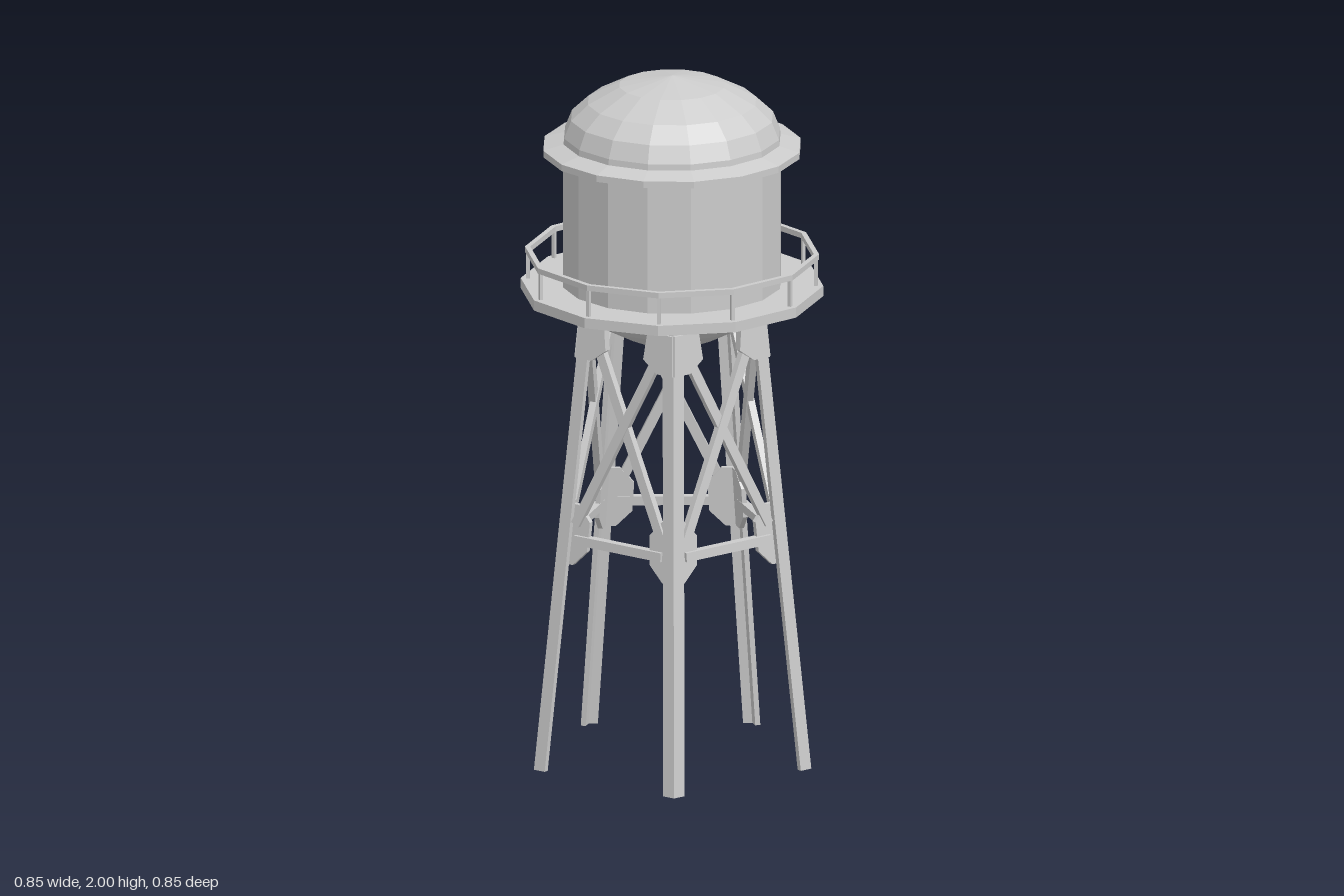
import * as THREE from 'three';

const mat = new THREE.MeshStandardMaterial({ color: 0xcccccc, flatShading: true, side: THREE.DoubleSide });

function add(parent, geometry, name) {
  const mesh = new THREE.Mesh(geometry, mat);
  mesh.name = name;
  parent.add(mesh);
  return mesh;
}

// faceted solid of revolution, profile listed from bottom to top
function lathe(parent, name, profile, sides) {
  const pts = profile.map(([r, y]) => new THREE.Vector2(r, y));
  return add(parent, new THREE.LatheGeometry(pts, sides), name);
}

// The five legs lean inward; these give the frame's outline at height y
const SIDES = 5;
const STEP = (Math.PI * 2) / SIDES;
const legRadius = (y) => 0.41 - 0.105 * y;
const halfSide = (y) => legRadius(y) * Math.sin(STEP / 2);
const faceDist = (y) => legRadius(y) * Math.cos(STEP / 2);

// flat plate on one leaning face of the frame; depth is measured inward
function plate(parent, name, pts, depth, thickness) {
  const shape = new THREE.Shape(pts.map(([u, y]) => new THREE.Vector2(u, y)));
  const geo = new THREE.ExtrudeGeometry(shape, { depth: thickness, bevelEnabled: false });
  const p = geo.attributes.position;
  for (let i = 0; i < p.count; i++) {
    p.setZ(i, p.getZ(i) + faceDist(p.getY(i)) - depth - thickness);
  }
  geo.computeVertexNormals();
  return add(parent, geo, name);
}

// plate points given as distance from the leg corner, for either end of a face
const fromLeg = (pts, sign) => pts.map(([s, y]) => [sign * (halfSide(y) - s), y]);

function frameFace() {
  const face = new THREE.Group();
  face.name = 'frameFace';
  for (const sign of [-1, 1]) {
    // one flange of the angle-iron leg
    plate(face, 'legFlange', fromLeg([[0, 0], [0.037, 0], [0.037, 1.32], [0, 1.32]], sign), 0, 0.015);
    // bracket under the tank
    plate(face, 'topGusset',
      fromLeg([[0, 1.2], [0.055, 1.2], [0.1, 1.235], [0.085, 1.315], [0, 1.315]], sign), -0.006, 0.022);
    // half of the octagonal joint plate
    plate(face, 'jointGusset',
      fromLeg([[0.01, 0.6], [0.05, 0.6], [0.093, 0.645], [0.093, 0.73], [0.05, 0.775], [0.01, 0.775]], sign),
      0.015, 0.014);
    // diagonal brace
    const a = new THREE.Vector2(-sign * (halfSide(0.72) - 0.05), 0.72);
    const b = new THREE.Vector2(sign * (halfSide(1.26) - 0.05), 1.26);
    const n = b.clone().sub(a).normalize().multiplyScalar(0.014);
    plate(face, 'diagonalBrace', [
      [a.x - n.y, a.y + n.x], [a.x + n.y, a.y - n.x], [b.x + n.y, b.y - n.x], [b.x - n.y, b.y + n.x],
    ], sign > 0 ? 0.004 : 0.008, 0.02);
  }
  // horizontal strut
  const w = halfSide(0.675) - 0.05;
  plate(face, 'strut', [[-w, 0.662], [w, 0.662], [w, 0.688], [-w, 0.688]], 0.006, 0.024);
  return face;
}

export function createModel() {
  const model = new THREE.Group();
  model.name = 'waterTower';

  // supporting frame
  const frame = new THREE.Group();
  frame.name = 'supportFrame';
  for (let i = 0; i < SIDES; i++) {
    const face = frameFace();
    face.rotation.y = i * STEP;
    frame.add(face);
  }
  model.add(frame);

  // tank
  lathe(model, 'tankBowl', [[0, 1.22], [0.13, 1.24], [0.215, 1.285], [0.275, 1.335], [0.305, 1.385]], 16);
  lathe(model, 'tankWall', [[0.311, 1.37], [0.311, 1.79]], 16);
  lathe(model, 'roofRim', [[0.3, 1.778], [0.367, 1.778], [0.367, 1.797], [0.3, 1.815]], 16);
  lathe(model, 'roofDome', [
    [0.31, 1.805], [0.308, 1.83], [0.288, 1.88], [0.24, 1.925], [0.15, 1.972], [0, 2],
  ], 16);

  // walkway with railing
  lathe(model, 'walkway', [[0.29, 1.363], [0.427, 1.363], [0.427, 1.393], [0.29, 1.393], [0.29, 1.363]], 12);
  lathe(model, 'handrail', [[0.4, 1.47], [0.415, 1.47], [0.415, 1.486], [0.4, 1.486], [0.4, 1.47]], 12);
  for (let i = 0; i < 12; i++) {
    const angle = (i * Math.PI) / 6;
    const post = add(model, new THREE.BoxGeometry(0.01, 0.08, 0.01), 'railPost');
    post.position.set(Math.sin(angle) * 0.406, 1.431, Math.cos(angle) * 0.406);
    post.rotation.y = angle;
  }
  return model;
}
